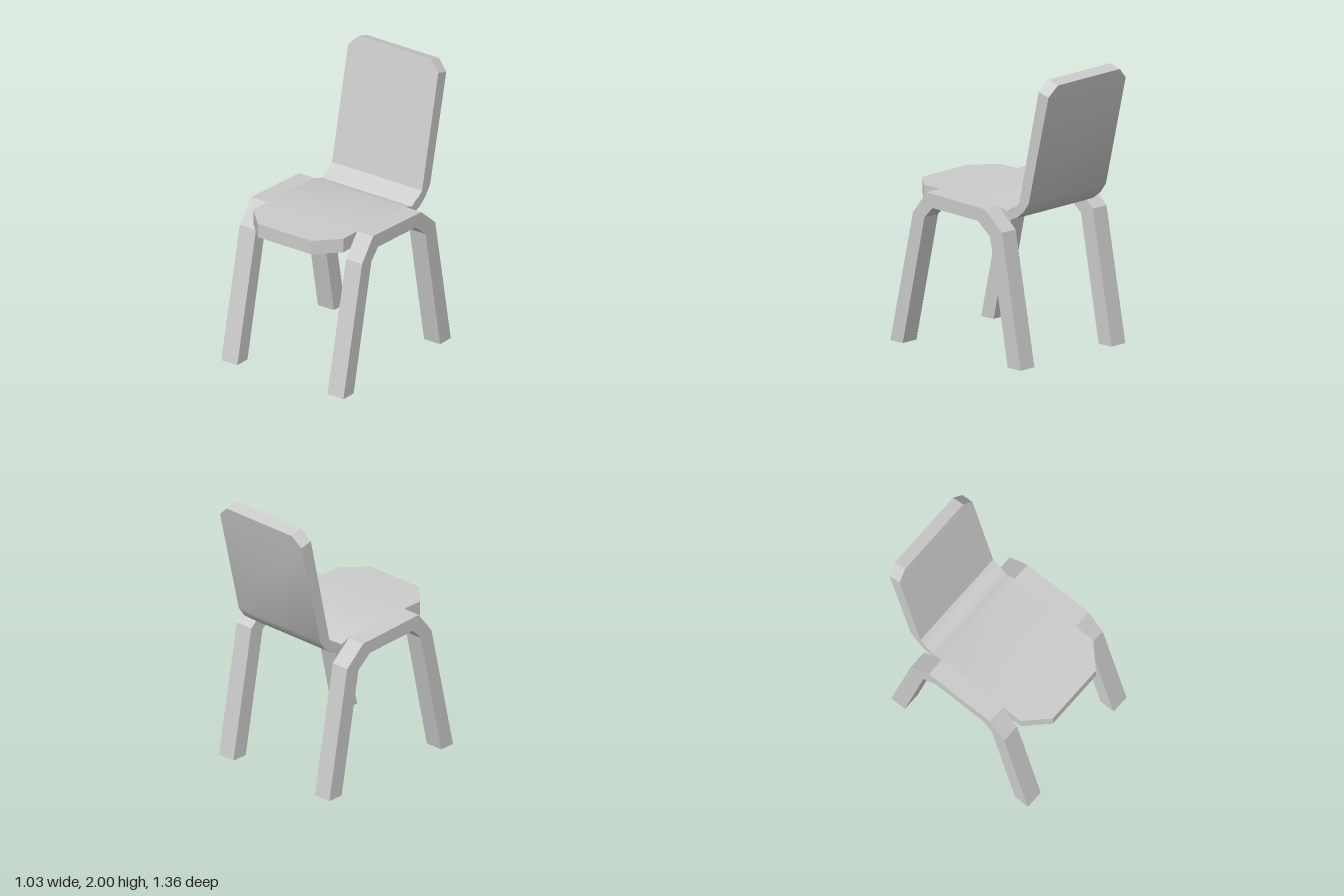
import * as THREE from 'three';
import { toCreasedNormals } from 'three/addons/utils/BufferGeometryUtils.js';

const material = new THREE.MeshStandardMaterial({ color: 0xcccccc });

// Loft rectangular sections: [top z, top y, bottom z, bottom y, half width]
function loftShell(sections) {
  const positions = [];
  const index = [];
  for (const [tz, ty, bz, by, w] of sections) {
    positions.push(w, ty, tz, -w, ty, tz, -w, by, bz, w, by, bz);
  }
  for (let i = 0; i < sections.length - 1; i++) {
    for (let k = 0; k < 4; k++) {
      const a = i * 4 + k;
      const b = i * 4 + ((k + 1) % 4);
      index.push(a, a + 4, b, b, a + 4, b + 4);
    }
  }
  const e = (sections.length - 1) * 4;
  index.push(0, 1, 2, 0, 2, 3, e, e + 2, e + 1, e, e + 3, e + 2);
  const geometry = new THREE.BufferGeometry();
  geometry.setAttribute('position', new THREE.Float32BufferAttribute(positions, 3));
  geometry.setIndex(index);
  return toCreasedNormals(geometry, 0.48);
}

export function createModel() {
  const group = new THREE.Group();

  // Seat and backrest: one bent board with chamfered ends and a crease at the bend
  const w = 0.38;
  const shell = new THREE.Mesh(loftShell([
    [0.655, 1.09, 0.655, 0.99, 0.225],
    [0.5, 1.09, 0.5, 0.99, w],
    [0.35, 1.09, 0.29, 0.99, w],
    [-0.195, 1.066, -0.13, 0.975, w],
    [-0.27, 1.04, -0.3, 0.985, w],
    [-0.308, 1.068, -0.36, 1.01, w],
    [-0.345, 1.082, -0.425, 1.06, w],
    [-0.385, 1.115, -0.475, 1.13, w],
    [-0.567, 1.925, -0.657, 1.9, w],
    [-0.585, 2.0, -0.675, 1.975, 0.305],
  ]), material);
  shell.name = 'seatAndBackrest';
  group.add(shell);

  // Side frames: front leg, rail and rear leg in one profile of (z, y) points
  const profile = new THREE.Shape([
    [0.68, 0], [0.47, 0.93], [0.345, 1.09], [-0.195, 1.066], [-0.353, 0.93], [-0.527, 0],
    [-0.407, 0], [-0.243, 0.885], [-0.13, 0.975], [0.29, 0.99], [0.365, 0.91], [0.565, 0],
  ].map(([z, y]) => new THREE.Vector2(z, y)));
  const frameGeometry = new THREE.ExtrudeGeometry(profile, { depth: 0.135, bevelEnabled: false });
  frameGeometry.rotateY(-Math.PI / 2);
  for (const [name, x] of [['leftLegFrame', 0.515], ['rightLegFrame', -0.38]]) {
    const frame = new THREE.Mesh(frameGeometry, material);
    frame.name = name;
    frame.position.x = x;
    group.add(frame);
  }
  return group;
}
